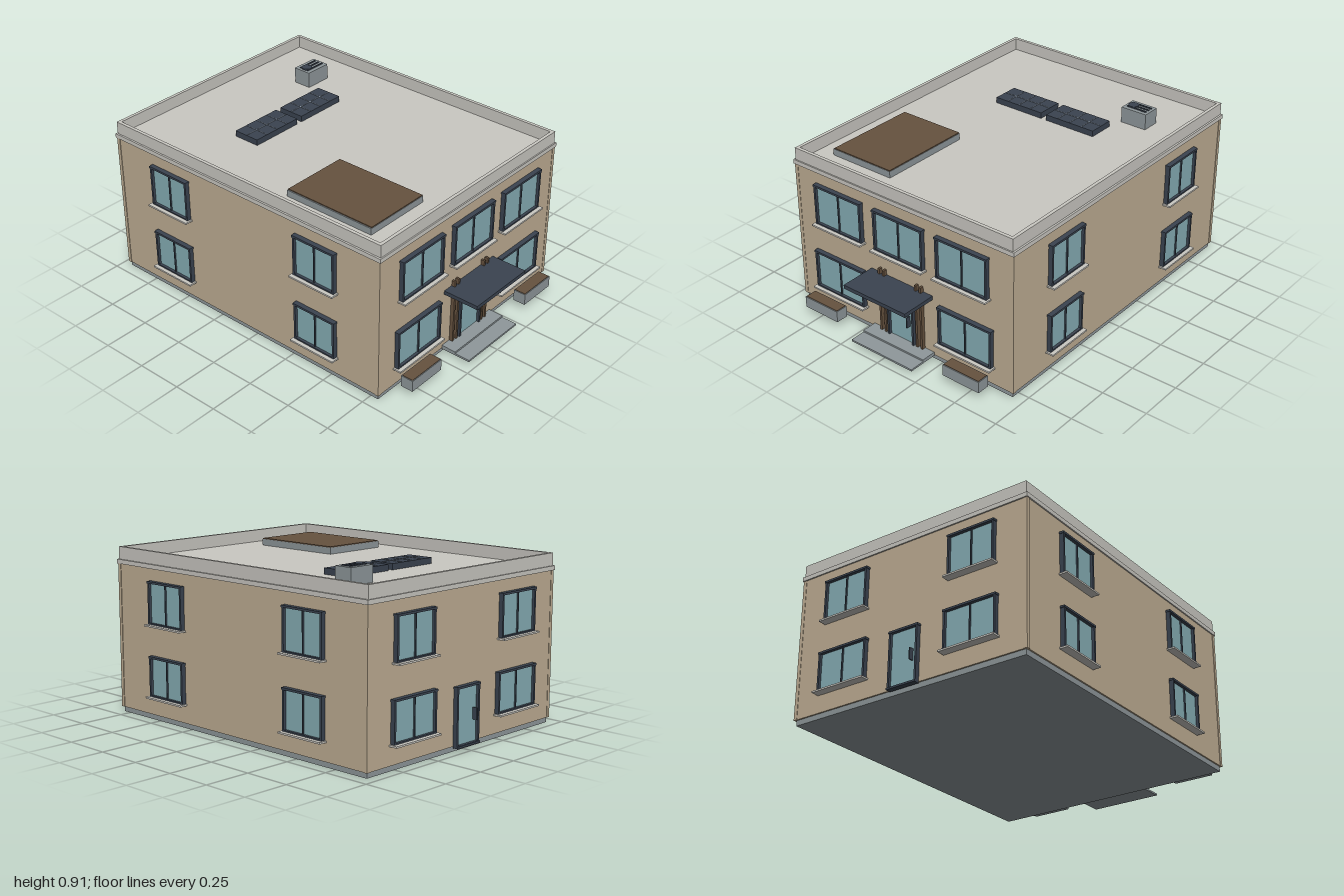
import * as THREE from 'three';

const mat = (name, color) => {
  const m = new THREE.MeshStandardMaterial({ color });
  m.name = name;
  return m;
};

export function createModel() {
  const M = {
    wall: mat('sandWall', 0xbfae94),
    trim: mat('paleTrim', 0xcac8c2),
    concrete: mat('greyConcrete', 0x8f989b),
    frame: mat('darkFrame', 0x3a4350),
    glass: mat('blueGlass', 0x86aeb5),
    wood: mat('brownWood', 0x66523f),
    line: mat('panelLine', 0x8a96a3),
  };
  const model = new THREE.Group();
  model.name = 'building';

  // Box given by its min and max on each axis
  const box = (parent, name, m, x0, x1, y0, y1, z0, z1) => {
    const mesh = new THREE.Mesh(new THREE.BoxGeometry(x1 - x0, y1 - y0, z1 - z0), m);
    mesh.name = name;
    mesh.position.set((x0 + x1) / 2, (y0 + y1) / 2, (z0 + z1) / 2);
    parent.add(mesh);
    return mesh;
  };

  // Main volume
  const W = 0.695, F = 0.802, B = -0.955;
  box(model, 'plinth', M.concrete, -0.687, 0.687, 0, 0.028, B + 0.008, F - 0.008);
  box(model, 'walls', M.wall, -W, W, 0.028, 0.795, B, F);
  for (const sx of [-1, 1]) for (const z of [B + 0.008, F - 0.008])
    box(model, 'cornerTrim', M.wall, sx * 0.688 - 0.01, sx * 0.688 + 0.01, 0.028, 0.795, z - 0.01, z + 0.01);
  box(model, 'cornice', M.trim, -0.702, 0.702, 0.795, 0.818, B - 0.007, F + 0.007);

  // Parapet ring around the flat roof
  const rect = (shape, x0, x1, y0, y1) =>
    shape.moveTo(x0, y0).lineTo(x1, y0).lineTo(x1, y1).lineTo(x0, y1).closePath();
  const ring = rect(new THREE.Shape(), -0.692, 0.692, -F, -B);
  ring.holes.push(rect(new THREE.Path(), -0.674, 0.674, -F + 0.018, -B - 0.018));
  const parapet = new THREE.Mesh(
    new THREE.ExtrudeGeometry(ring, { depth: 0.067, bevelEnabled: false }), M.trim);
  parapet.name = 'parapet';
  parapet.rotation.x = -Math.PI / 2;
  parapet.position.y = 0.817;
  model.add(parapet);

  // A group lying on one wall, with its local +z pointing outwards
  const faces = {
    front: [0, 0, F, 0],
    back: [0, 0, B, Math.PI],
    right: [W, 0, 0, Math.PI / 2],
    left: [-W, 0, 0, -Math.PI / 2],
  };
  const side = {};
  for (const [name, [x, y, z, turn]] of Object.entries(faces)) {
    const g = new THREE.Group();
    g.name = name + 'Openings';
    g.position.set(x, y, z);
    g.rotation.y = turn;
    model.add(g);
    side[name] = g;
  }

  // Frame, glass and centre bar shared by windows and doors
  const opening = (parent, name, x, w, y0, y1, mullion) => {
    const g = new THREE.Group();
    g.name = name;
    g.position.x = x;
    parent.add(g);
    const h = w / 2, t = 0.011;
    box(g, 'glass', M.glass, -h + t, h - t, y0 + 0.006, y1 - t, 0, 0.009);
    for (const s of [-1, 1])
      box(g, 'frameSide', M.frame, s * (h - t / 2) - t / 2, s * (h - t / 2) + t / 2, y0, y1, 0, 0.024);
    box(g, 'frameHead', M.frame, -h - 0.003, h + 0.003, y1 - t, y1, 0, 0.026);
    box(g, 'frameFoot', M.frame, -h, h, y0, y0 + 0.007, 0, 0.024);
    if (mullion) box(g, 'mullion', M.frame, -0.003, 0.003, y0, y1 - t, 0, 0.017);
    return g;
  };
  const windowAt = (parent, x, w, y0, y1) => {
    const g = opening(parent, 'window', x, w, y0, y1, true);
    box(g, 'sill', M.trim, -w / 2 - 0.009, w / 2 + 0.009, y0 - 0.009, y0, 0, 0.045);
  };
  const doorAt = (parent) => {
    const g = opening(parent, 'door', 0, 0.172, 0.024, 0.322, false);
    box(g, 'threshold', M.frame, -0.086, 0.086, 0.02, 0.03, 0, 0.03);
    box(g, 'handle', M.frame, 0.049, 0.055, 0.14, 0.2, 0.009, 0.034);
  };

  const upper = [0.51, 0.733], lower = [0.13, 0.342];
  for (const s of [-1, 1]) {
    windowAt(side.front, s * 0.397, 0.312, ...upper);
    windowAt(side.front, s * 0.411, 0.33, ...lower);
    windowAt(side.back, s * 0.387, 0.27, ...upper);
    windowAt(side.back, s * 0.387, 0.3, ...lower);
  }
  windowAt(side.front, 0, 0.315, ...upper);
  for (const z of [0.413, -0.565]) for (const rows of [upper, lower]) {
    windowAt(side.right, -z, 0.257, ...rows);
    windowAt(side.left, z, 0.257, ...rows);
  }
  doorAt(side.front);
  doorAt(side.back);

  // Entrance canopy, slatted posts and steps
  box(model, 'canopy', M.frame, -0.2, 0.2, 0.354, 0.375, F, 1);
  for (const x of [-0.135, -0.105, 0.105, 0.135])
    box(model, 'post', M.wood, x - 0.006, x + 0.006, 0.042, 0.405, F, F + 0.02);
  box(model, 'lowerStep', M.concrete, -0.2, 0.2, 0.024, 0.034, F - 0.01, 0.97);
  box(model, 'upperStep', M.concrete, -0.2, 0.2, 0.034, 0.044, F - 0.01, 0.885);

  // Planters
  for (const s of [-1, 1]) {
    const x = s * 0.465;
    box(model, 'planter', M.concrete, x - 0.112, x + 0.112, 0.042, 0.104, 0.845, 0.915);
    box(model, 'planterSoil', M.wood, x - 0.108, x + 0.108, 0.104, 0.107, 0.849, 0.911);
  }

  // Roof deck
  box(model, 'deckBase', M.concrete, -0.577, -0.195, 0.817, 0.853, 0.127, 0.65);
  box(model, 'deckTop', M.wood, -0.571, -0.197, 0.853, 0.858, 0.129, 0.648);

  // Solar panels with a thin cell grid
  for (const s of [-1, 1]) {
    const g = new THREE.Group();
    g.name = 'solarPanel';
    g.position.set(s * 0.1665, 0, -0.397);
    model.add(g);
    box(g, 'panelBody', M.frame, -0.15, 0.15, 0.817, 0.85, -0.075, 0.075);
    for (const x of [-0.075, 0, 0.075])
      box(g, 'cellLine', M.line, x - 0.0015, x + 0.0015, 0.85, 0.852, -0.07, 0.07);
    box(g, 'cellLine', M.line, -0.145, 0.145, 0.85, 0.852, -0.0015, 0.0015);
  }

  // Rooftop cooling unit with fan and vents
  box(model, 'coolingUnit', M.concrete, 0.333, 0.483, 0.817, 0.904, -0.656, -0.554);
  const fan = new THREE.Mesh(new THREE.CylinderGeometry(0.028, 0.028, 0.007, 20), M.frame);
  fan.name = 'fan';
  fan.position.set(0.373, 0.9075, -0.605);
  model.add(fan);
  for (const z of [-0.63, -0.605, -0.58])
    box(model, 'vent', M.frame, 0.35, 0.468, 0.904, 0.909, z - 0.004, z + 0.004);

  return model;
}
